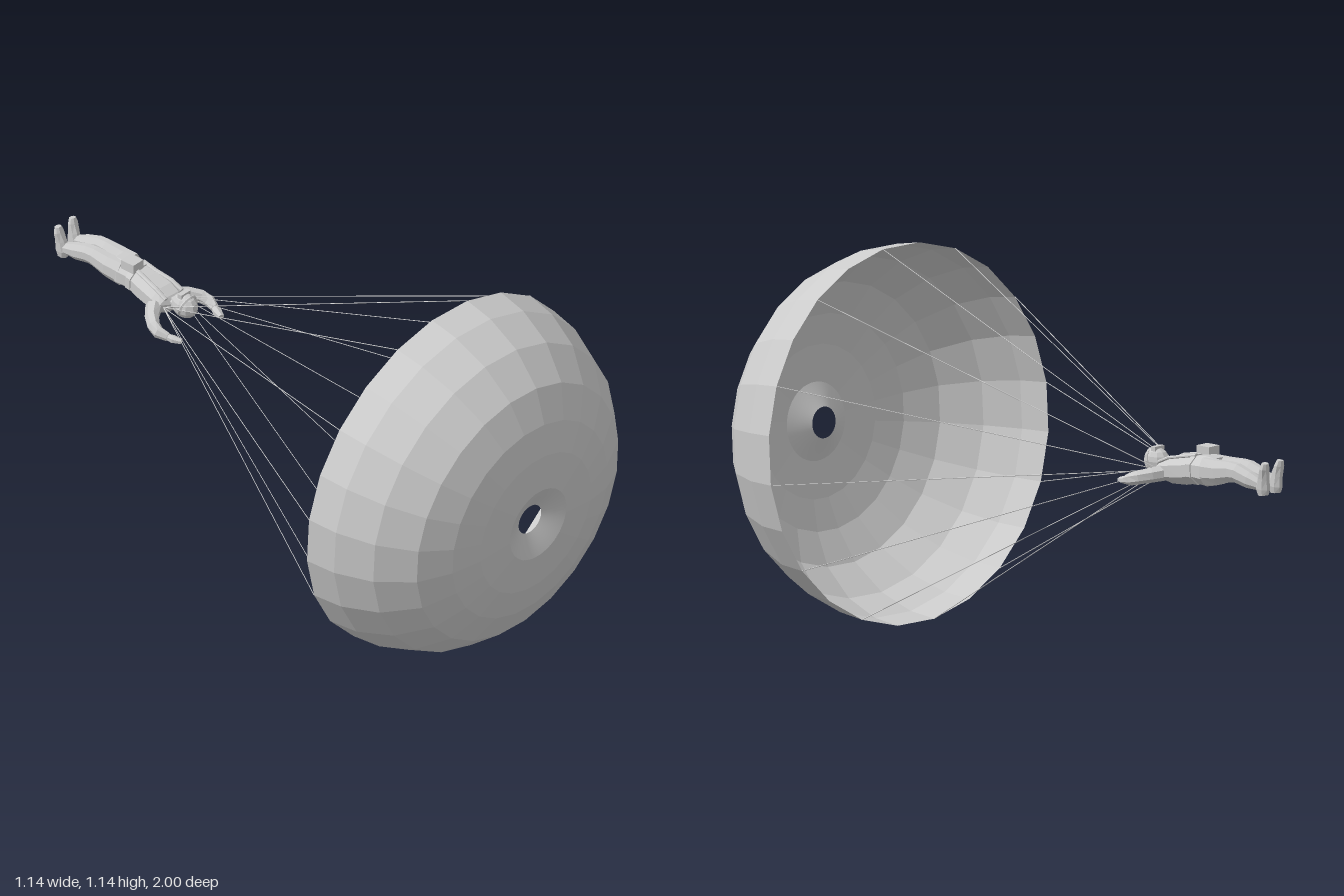
import * as THREE from 'three';

const V = (x, y, z) => new THREE.Vector3(x, y, z);
const flat = new THREE.MeshStandardMaterial({ color: 0xcccccc, flatShading: true, side: THREE.DoubleSide });
const smooth = new THREE.MeshStandardMaterial({ color: 0xcccccc, side: THREE.DoubleSide });

function add(parent, name, geometry, material = flat) {
  const mesh = new THREE.Mesh(geometry, material);
  mesh.name = name;
  parent.add(mesh);
  return mesh;
}

// Closed skin over elliptical sections [x, y, z, halfWidth, halfHeight]
function loft(sections, up = V(0, 1, 0), n = 8) {
  const c = sections.map(s => V(s[0], s[1], s[2]));
  const pos = [], idx = [];
  sections.forEach((s, i) => {
    const t = c[Math.min(i + 1, c.length - 1)].clone().sub(c[Math.max(i - 1, 0)]).normalize();
    const side = up.clone().cross(t).normalize();
    const top = t.clone().cross(side);
    for (let k = 0; k < n; k++) {
      const a = (k + 0.5) / n * Math.PI * 2;
      const p = c[i].clone().addScaledVector(side, Math.cos(a) * s[3]).addScaledVector(top, Math.sin(a) * s[4]);
      pos.push(p.x, p.y, p.z);
    }
  });
  for (let i = 0; i < c.length - 1; i++) for (let k = 0; k < n; k++) {
    const a = i * n + k, b = i * n + (k + 1) % n;
    idx.push(a, b, b + n, a, b + n, a + n);
  }
  // end caps
  const last = (c.length - 1) * n;
  for (let k = 1; k < n - 1; k++) idx.push(0, k + 1, k, last, last + k, last + k + 1);
  const g = new THREE.BufferGeometry();
  g.setAttribute('position', new THREE.Float32BufferAttribute(pos, 3));
  g.setIndex(idx);
  g.computeVertexNormals();
  return g;
}

function createCanopy(radius) {
  const canopy = new THREE.Group();
  canopy.name = 'canopy';
  const lathe = (pts, n, start) => new THREE.LatheGeometry(pts.map(p => new THREE.Vector2(...p)), n, start)
    .rotateX(Math.PI / 2);
  add(canopy, 'canopyShell', lathe([[radius, 0], [0.563, 0.1], [0.515, 0.218], [0.43, 0.318],
    [0.33, 0.37], [0.235, 0.395], [0.12, 0.405]], 24, Math.PI / 24));
  // funnel-shaped vent at the crown
  add(canopy, 'crownVent', lathe([[0.12, 0.405], [0.085, 0.39], [0.048, 0.37]], 48, 0), smooth);
  return canopy;
}

function createJumper() {
  const jumper = new THREE.Group();
  jumper.name = 'jumper';

  add(jumper, 'torso', loft([
    [0.06, 0.645, -0.53, 0.022, 0.018], [0.062, 0.645, -0.545, 0.06, 0.032],
    [0.064, 0.65, -0.58, 0.062, 0.044], [0.068, 0.658, -0.64, 0.055, 0.048],
    [0.074, 0.668, -0.69, 0.05, 0.046], [0.077, 0.67, -0.735, 0.056, 0.05],
    [0.078, 0.672, -0.77, 0.05, 0.044]]));
  add(jumper, 'neck', loft([[0.056, 0.657, -0.5, 0.017, 0.018], [0.06, 0.65, -0.55, 0.02, 0.02]]));

  // head, helmet rim and goggles, facing up
  const head = add(jumper, 'head', new THREE.SphereGeometry(1, 10, 8));
  head.scale.set(0.034, 0.04, 0.045);
  head.position.set(0.055, 0.662, -0.488);
  const rim = add(jumper, 'helmetRim', new THREE.TorusGeometry(0.034, 0.005, 5, 12));
  rim.position.set(0.055, 0.664, -0.48);
  rim.rotation.x = 0.35;
  add(jumper, 'goggles', new THREE.BoxGeometry(0.042, 0.014, 0.016)).position.set(0.055, 0.7, -0.492);

  // harness: belly pack, belt and shoulder straps
  const pack = add(jumper, 'bellyPack', new THREE.BoxGeometry(0.046, 0.03, 0.05));
  pack.position.set(0.05, 0.722, -0.695);
  add(jumper, 'belt', loft([[0.072, 0.667, -0.675, 0.055, 0.05], [0.074, 0.668, -0.695, 0.055, 0.05]]));

  for (const s of [1, -1]) {
    const side = s > 0 ? 'left' : 'right';
    add(jumper, side + 'Strap', loft([[0.064 + s * 0.036, 0.672, -0.54, 0.008, 0.005],
      [0.065 + s * 0.034, 0.69, -0.58, 0.008, 0.005], [0.068 + s * 0.026, 0.702, -0.64, 0.008, 0.005],
      [0.073 + s * 0.022, 0.712, -0.69, 0.008, 0.005]]));

    // arm spread outwards, forearm reaching past the head
    const cx = 0.052;
    add(jumper, side + 'Arm', loft([
      [cx + s * 0.045, 0.645, -0.57, 0.026, 0.026], [cx + s * 0.082, 0.638, -0.545, 0.022, 0.024],
      [cx + s * 0.108, 0.63, -0.515, 0.02, 0.022], [cx + s * 0.115, 0.622, -0.49, 0.018, 0.02],
      [cx + s * 0.106, 0.614, -0.46, 0.013, 0.014]], V(0, 1, 0), 7));
    add(jumper, side + 'Hand', loft([
      [cx + s * 0.107, 0.614, -0.465, 0.01, 0.011], [cx + s * 0.1, 0.61, -0.445, 0.015, 0.012],
      [cx + s * 0.09, 0.607, -0.42, 0.01, 0.008]], V(0, 1, 0), 6));

    // leg with slightly bent knee
    const lx = 0.078;
    add(jumper, side + 'Leg', loft([
      [lx + s * 0.025, 0.672, -0.735, 0.029, 0.044], [lx + s * 0.027, 0.676, -0.79, 0.028, 0.04],
      [lx + s * 0.027, 0.685, -0.845, 0.024, 0.033], [lx + s * 0.028, 0.685, -0.87, 0.023, 0.031],
      [lx + s * 0.028, 0.672, -0.92, 0.021, 0.028], [lx + s * 0.027, 0.662, -0.965, 0.015, 0.018]]));
    // boot with toes pointing up
    add(jumper, side + 'Boot', loft([
      [lx + s * 0.027, 0.632, -0.975, 0.014, 0.018], [lx + s * 0.027, 0.652, -0.973, 0.018, 0.026],
      [lx + s * 0.029, 0.685, -0.978, 0.017, 0.02], [lx + s * 0.032, 0.715, -0.985, 0.018, 0.014],
      [lx + s * 0.033, 0.732, -0.988, 0.012, 0.01]], V(0, 0, 1)));
  }
  return jumper;
}

export function createModel() {
  const model = new THREE.Group();
  model.name = 'parachutist';

  // canopy tilted slightly down and to its right
  const radius = 0.577;
  const canopy = createCanopy(radius);
  canopy.position.set(0, 0.58, 0.588);
  canopy.quaternion.setFromUnitVectors(V(0, 0, 1), V(-0.055, -0.055, 1).normalize());
  model.add(canopy);

  // twelve suspension lines, six to each shoulder
  const lines = new THREE.Group();
  lines.name = 'suspensionLines';
  model.add(lines);
  for (let i = 0; i < 12; i++) {
    const a = THREE.MathUtils.degToRad(82.5 + 30 * i);
    const from = V(radius * Math.cos(a), radius * Math.sin(a), 0)
      .applyQuaternion(canopy.quaternion).add(canopy.position);
    const to = V(i < 6 ? 0.02 : 0.1, 0.647, -0.545);
    const d = to.clone().sub(from);
    const line = add(lines, 'suspensionLine', new THREE.CylinderGeometry(0.0013, 0.0013, d.length(), 4));
    line.position.copy(from).addScaledVector(d, 0.5);
    line.quaternion.setFromUnitVectors(V(0, 1, 0), d.normalize());
  }

  model.add(createJumper());
  return model;
}
